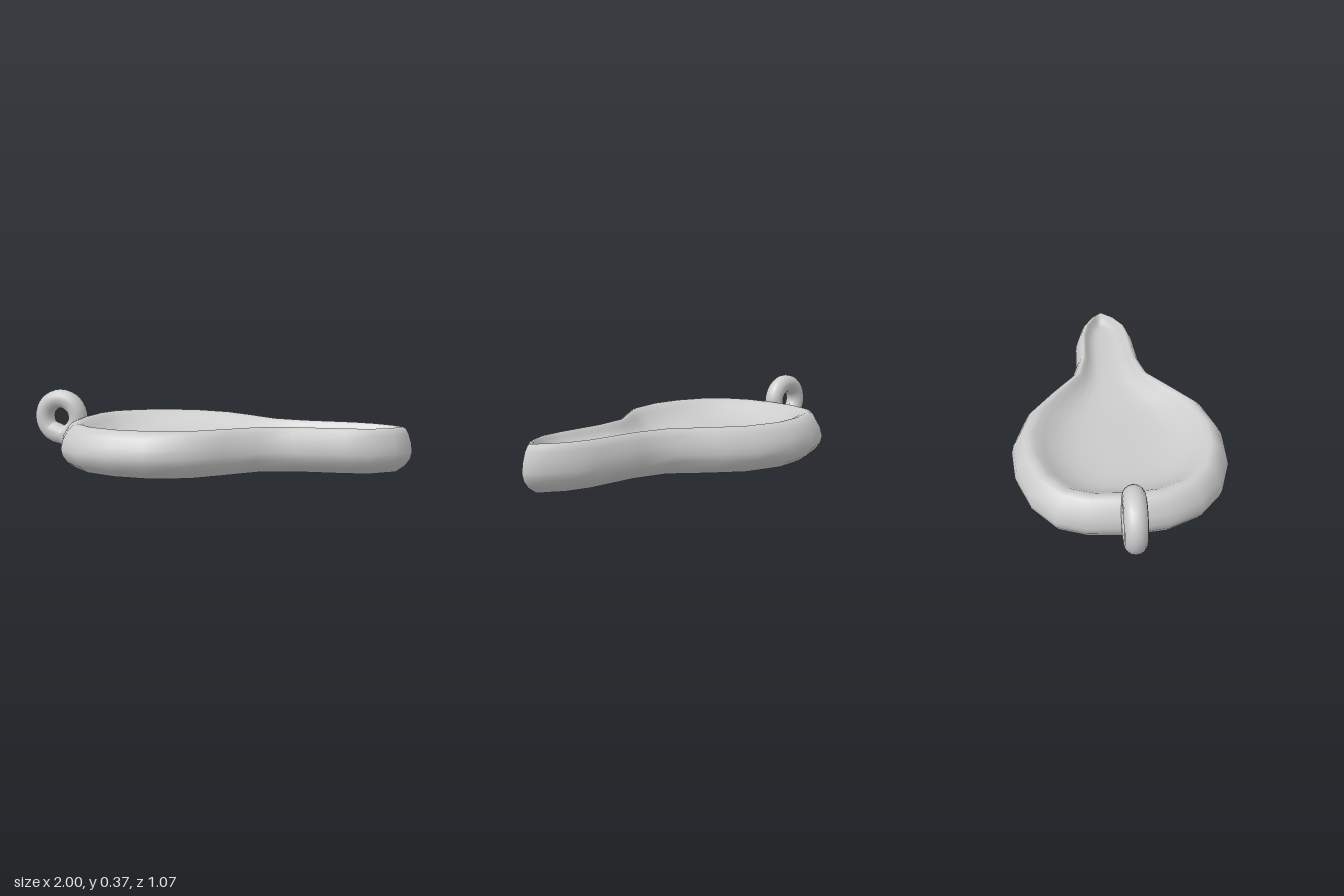
import * as THREE from 'three';
import { mergeVertices } from 'three/addons/utils/BufferGeometryUtils.js';

const material = new THREE.MeshStandardMaterial({ color: 0xcccccc, side: THREE.DoubleSide });

// widest outline of the dish as [x, z], from the ring end round the back to the spout tip and home
const outline = [
  [-0.79, 0.02], [-0.78, -0.18], [-0.73, -0.32], [-0.6, -0.435], [-0.42, -0.51], [-0.23, -0.535],
  [-0.03, -0.485], [0.12, -0.38], [0.285, -0.25], [0.45, -0.21], [0.7, -0.205], [0.81, -0.18],
  [0.93, -0.12], [1, -0.05], [0.925, 0.05], [0.81, 0.12], [0.7, 0.145], [0.45, 0.17],
  [0.285, 0.22], [0.14, 0.35], [0, 0.47], [-0.19, 0.53], [-0.375, 0.525], [-0.56, 0.465],
  [-0.69, 0.355], [-0.765, 0.2],
];

// outer wall from the open foot to the rim: [inset, height]
const wall = [
  [0.075, 0.003], [0.032, 0.035], [0.008, 0.07], [0, 0.105], [0.011, 0.15], [0.037, 0.195],
  [0.064, 0.22], [0.09, 0.228],
];
// bowl from the rim to the middle: [fraction of way to the spine, drop below the rim]
const bowl = [
  [0.07, 0.01], [0.15, 0.034], [0.25, 0.062], [0.39, 0.088], [0.56, 0.102], [0.77, 0.107], [1, 0.108],
];

// thin shell, open underneath: bulging wall, rounded rim and sagging bowl with a spout
function dishGeometry() {
  const positions = [], indices = [], n = outline.length;
  const ring = (place) => outline.forEach(([x, z], i) => {
    // opposite outline points share one point of the spine
    const spineX = THREE.MathUtils.clamp((x + outline[(n - i) % n][0]) / 2, -0.3, 0.85);
    const spineZ = -0.03 * THREE.MathUtils.smoothstep(spineX, 0, 0.5);
    const reach = Math.hypot(x - spineX, z - spineZ);
    const [t, y] = place(reach, spineX);
    positions.push(x + (spineX - x) * t, y, z + (spineZ - z) * t);
  });
  // above its widest level the wall leans in less where the dish is narrow
  const lean = (inset, reach, power) => (inset / 0.53) * (0.53 / reach) ** power;
  const [rimInset, rimHeight] = wall[wall.length - 1];

  wall.forEach(([inset, y], k) => ring((reach) => [lean(inset, reach, k < 3 ? 1 : 0.5), y]));
  for (const [f, drop] of bowl) {
    ring((reach, spineX) => {
      const rim = lean(rimInset, reach, 0.5);
      const depth = 1 - 0.45 * THREE.MathUtils.smoothstep(spineX, 0, 0.5);
      return [rim + (1 - rim) * f, rimHeight - drop * depth];
    });
  }
  for (let k = 0; k < wall.length + bowl.length - 1; k++) {
    for (let i = 0; i < n; i++) {
      const a = k * n + i, b = k * n + (i + 1) % n;
      indices.push(a, a + n, b, b, a + n, b + n);
    }
  }
  const shell = new THREE.BufferGeometry();
  shell.setAttribute('position', new THREE.Float32BufferAttribute(positions, 3));
  shell.setIndex(indices);
  const geometry = mergeVertices(shell);
  geometry.computeVertexNormals();
  return geometry;
}

function part(name, geometry, parent) {
  const mesh = new THREE.Mesh(geometry, material);
  mesh.name = name;
  parent.add(mesh);
  return mesh;
}

export function createModel() {
  const model = new THREE.Group();
  model.name = 'spoutedDish';

  part('dish', dishGeometry(), model);

  // upright finger ring with a short stem running off it into the wall
  const handle = new THREE.Group();
  handle.name = 'handle';
  model.add(handle);
  part('ring', new THREE.TorusGeometry(0.098, 0.052, 16, 32), handle).position.set(-0.85, 0.223, 0.028);

  const from = new THREE.Vector3(-0.915, 0.152, 0.028), to = new THREE.Vector3(-0.735, 0.078, 0.028);
  const stem = part('stem', new THREE.CylinderGeometry(0.052, 0.052, from.distanceTo(to), 16), handle);
  stem.position.copy(from).lerp(to, 0.5);
  stem.quaternion.setFromUnitVectors(new THREE.Vector3(0, 1, 0), to.clone().sub(from).normalize());

  return model;
}
